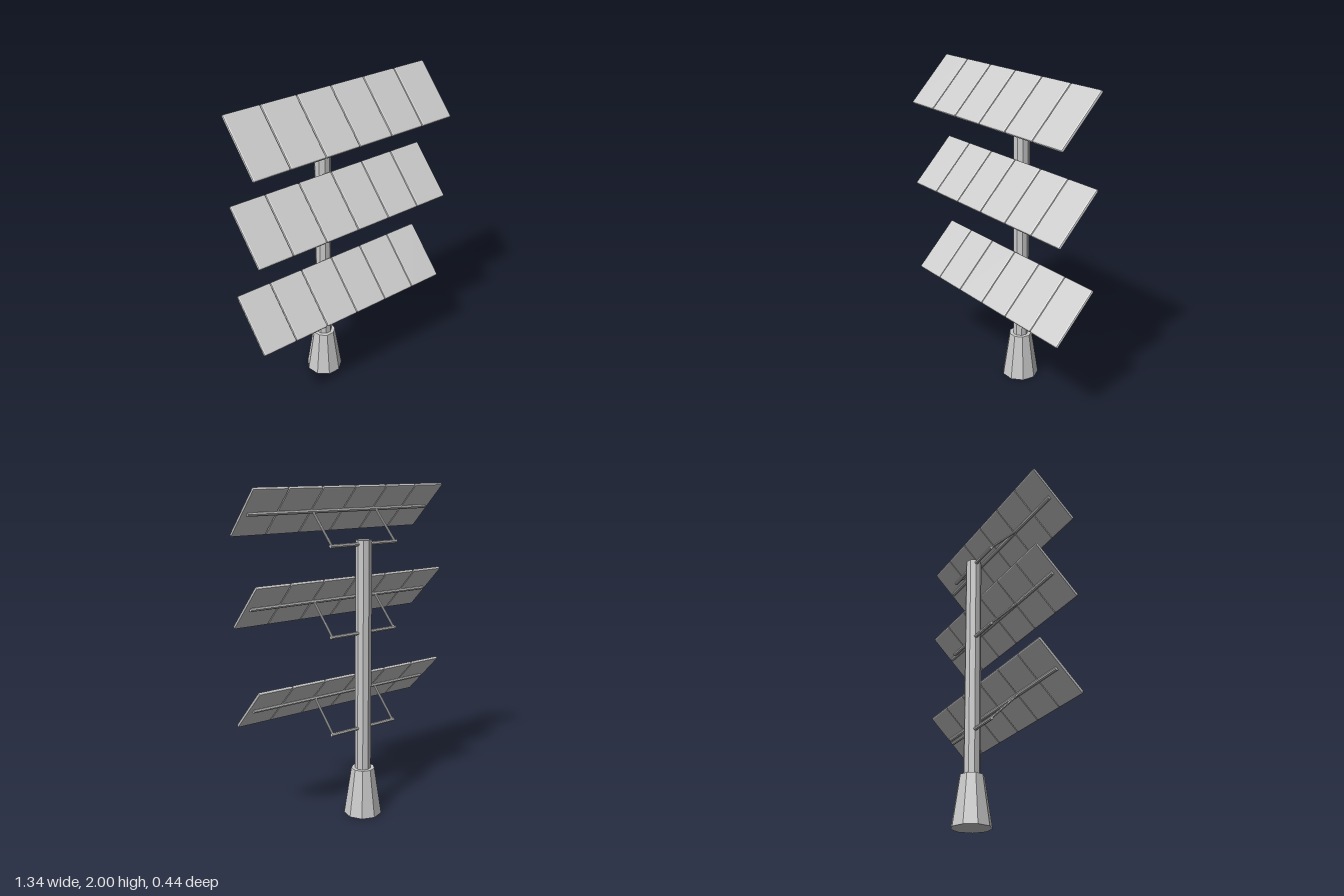
import * as THREE from 'three';
import { RoundedBoxGeometry } from 'three/addons/geometries/RoundedBoxGeometry.js';

const material = new THREE.MeshStandardMaterial({ color: 0xcccccc, flatShading: true });

function addPart(parent, name, geometry, x = 0, y = 0, z = 0) {
  const mesh = new THREE.Mesh(geometry, material);
  mesh.name = name;
  mesh.position.set(x, y, z);
  parent.add(mesh);
  return mesh;
}

// Row of six tilted panels with its rear rail, two struts and crossbar
function createPanelRow(y) {
  const row = new THREE.Group();
  row.name = 'panelRow';
  row.position.set(0, y, 0.08);
  row.rotation.x = -Math.PI / 4;

  const pitch = 0.2245;
  const panel = new RoundedBoxGeometry(0.222, 0.376, 0.02, 1, 0.008);
  for (let i = 0; i < 6; i++) addPart(row, 'panel', panel, (i - 2.5) * pitch, 0, 0);

  // Rail along the back of the panels
  const rail = addPart(row, 'rearRail', new THREE.CylinderGeometry(0.012, 0.012, 1.28, 8), 0, 0, -0.013);
  rail.rotation.z = Math.PI / 2;

  // Crossbar through the pole
  const bar = addPart(row, 'crossbar', new THREE.CylinderGeometry(0.011, 0.011, 0.482, 8), -0.016, 0, -0.271);
  bar.rotation.z = Math.PI / 2;

  // Struts from crossbar to rail
  for (const side of [-1, 1]) {
    const strut = addPart(row, 'strut', new THREE.CylinderGeometry(0.007, 0.007, 0.26, 8), -0.016 + side * 0.229, 0, -0.141);
    strut.rotation.x = Math.PI / 2;
  }
  return row;
}

export function createModel() {
  const model = new THREE.Group();
  model.name = 'solarPanelTower';

  // Nine-sided pole and flared foot, one corner pointing back
  const px = -0.016, pz = -0.107;
  addPart(model, 'base', new THREE.CylinderGeometry(0.072, 0.117, 0.295, 9, 1, false, Math.PI), px, 0.1475, pz);
  addPart(model, 'pole', new THREE.CylinderGeometry(0.049, 0.049, 1.41, 9, 1, false, Math.PI), px, 0.985, pz);

  for (const y of [0.75, 1.34, 1.86]) model.add(createPanelRow(y));
  return model;
}
